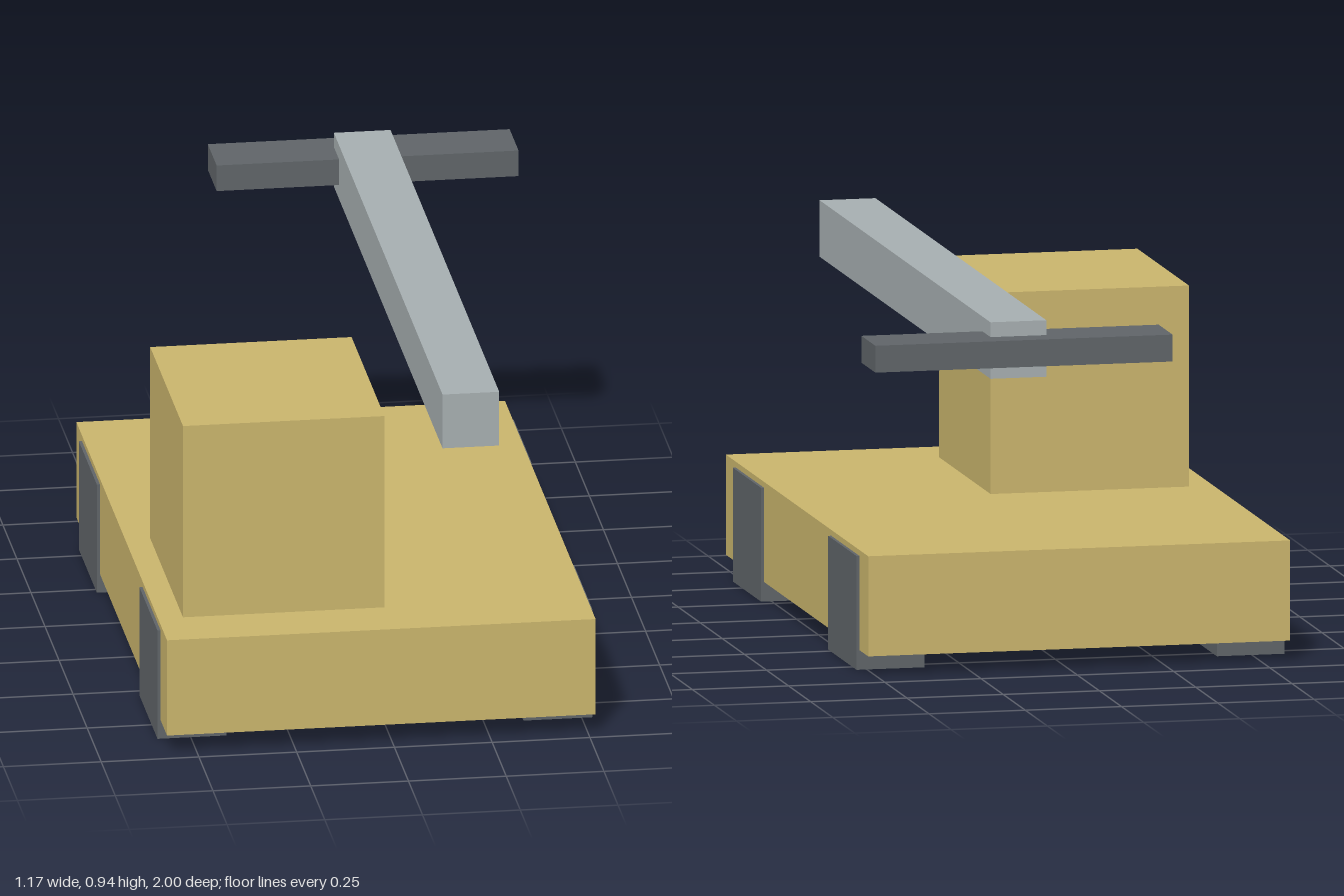
import * as THREE from 'three';

function material(name, color) {
  const m = new THREE.MeshStandardMaterial({ color });
  m.name = name;
  return m;
}

export function createModel() {
  const tan = material('tan', 0xc9b46c);
  const lightGrey = material('light grey', 0xa6aeb0);
  const darkGrey = material('dark grey', 0x5f6468);

  const model = new THREE.Group();
  model.name = 'craneTruck';

  // Box spanning the given [min, max] range on each axis
  function block(name, mat, [x0, x1], [y0, y1], [z0, z1]) {
    const mesh = new THREE.Mesh(new THREE.BoxGeometry(x1 - x0, y1 - y0, z1 - z0), mat);
    mesh.position.set((x0 + x1) / 2, (y0 + y1) / 2, (z0 + z1) / 2);
    mesh.name = name;
    model.add(mesh);
  }

  // Body
  block('chassis', tan, [-0.577, 0.519], [0.05, 0.307], [-0.645, 0.968]);
  block('cab', tan, [-0.513, 0.002], [0.307, 0.823], [0.223, 0.807]);

  // Overhead boom and its rear crossbar
  block('boom', lightGrey, [0.123, 0.268], [0.8, 0.945], [-0.935, 1]);
  block('crossbar', darkGrey, [-0.19, 0.582], [0.838, 0.907], [-1, -0.842]);

  // Square wheels, one pair per axle
  for (const [axle, z] of [['front', [0.533, 0.854]], ['rear', [-0.547, -0.226]]]) {
    block(axle + 'RightWheel', darkGrey, [-0.585, -0.409], [0, 0.292], z);
    block(axle + 'LeftWheel', darkGrey, [0.351, 0.527], [0, 0.292], z);
  }

  return model;
}
